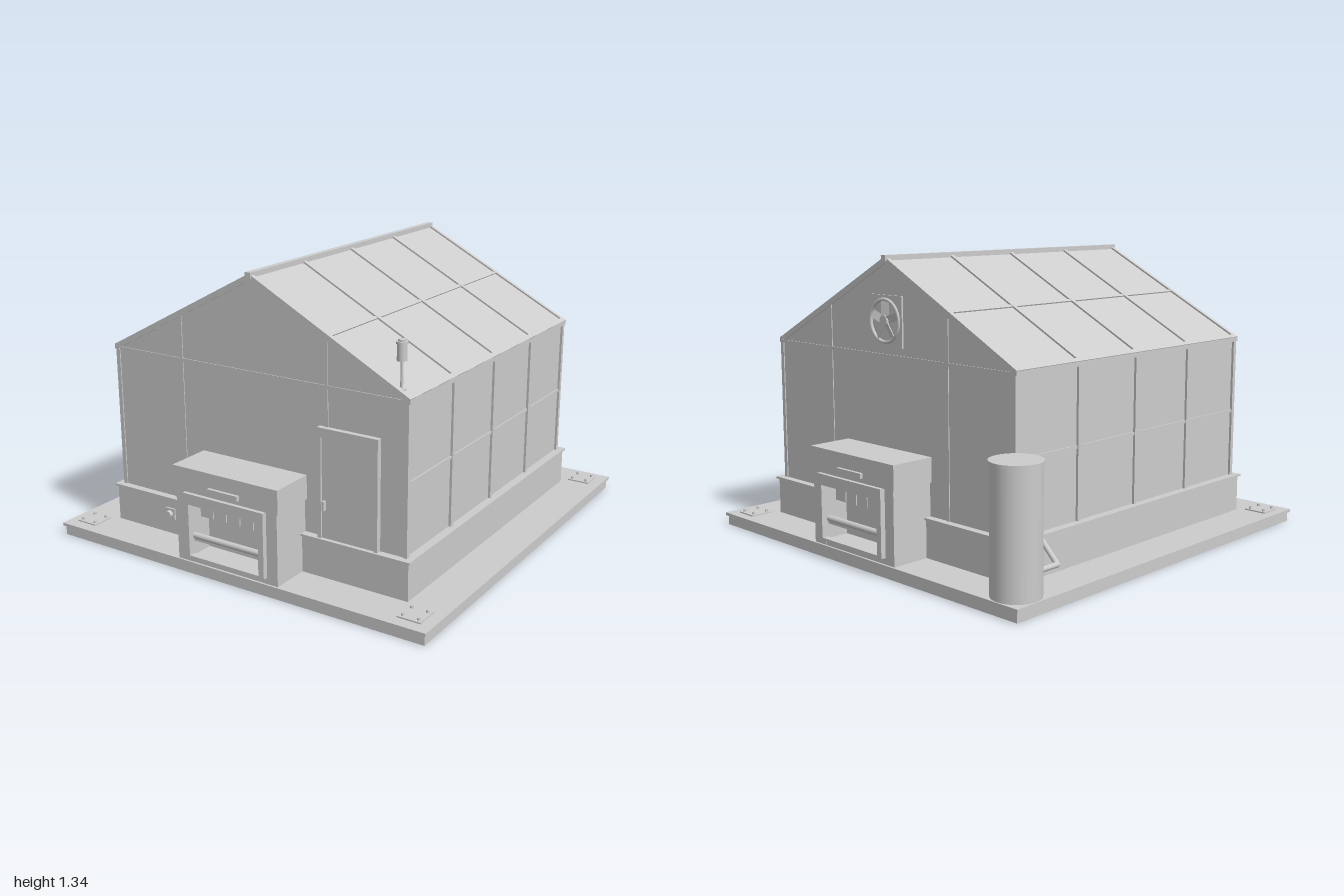
import * as THREE from 'three';

const grey = new THREE.MeshStandardMaterial({ color: 0xcccccc });
grey.name = 'lightGrey';

function add(parent, name, geometry, x = 0, y = 0, z = 0) {
  const mesh = new THREE.Mesh(geometry, grey);
  mesh.name = name;
  mesh.position.set(x, y, z);
  parent.add(mesh);
  return mesh;
}

// Box given by its extents along each axis
function box(parent, name, x0, x1, y0, y1, z0, z1) {
  return add(parent, name, new THREE.BoxGeometry(x1 - x0, y1 - y0, z1 - z0),
    (x0 + x1) / 2, (y0 + y1) / 2, (z0 + z1) / 2);
}

function cylinder(parent, name, r, y0, y1, x, z, sides = 24) {
  return add(parent, name, new THREE.CylinderGeometry(r, r, y1 - y0, sides), x, (y0 + y1) / 2, z);
}

function group(parent, name) {
  const g = new THREE.Group();
  g.name = name;
  parent.add(g);
  return g;
}

const BAYS = [-0.765, -0.385, 0, 0.385, 0.765];

// One slope of the roof, built flat from the ridge outwards and then tilted
function roofSlope(parent, name) {
  const side = group(parent, name);
  const slope = group(side, 'slope');
  const len = Math.hypot(0.777, 0.41);
  slope.position.y = 1.322;
  slope.rotation.z = -Math.atan2(0.41, 0.777);
  box(slope, 'roofPane', 0, len, -0.012, 0.004, -0.775, 0.775);
  for (const z of BAYS) box(slope, 'rafter', 0, len, -0.014, 0.012, z - 0.01, z + 0.01);
  box(slope, 'purlin', len / 2 - 0.008, len / 2 + 0.008, 0, 0.01, -0.77, 0.77);
  box(slope, 'eaveBar', len - 0.024, len, -0.014, 0.012, -0.776, 0.776);
  return side;
}

// Glazing bars of one long wall
function sideWall(parent, name) {
  const wall = group(parent, name);
  for (const z of BAYS) box(wall, 'post', 0.755, 0.776, 0.24, 0.915, z - 0.01, z + 0.01);
  box(wall, 'middleRail', 0.76, 0.772, 0.552, 0.566, -0.765, 0.765);
  box(wall, 'eaveRail', 0.757, 0.782, 0.9, 0.92, -0.776, 0.776);
  return wall;
}

// Glazing bars of one gable wall
function gableWall(parent, name) {
  const wall = group(parent, name);
  for (const x of [-0.385, 0.385]) box(wall, 'mullion', x - 0.007, x + 0.007, 0.24, 1.11, 0.76, 0.774);
  box(wall, 'gableRail', -0.765, 0.765, 0.9, 0.914, 0.76, 0.774);
  return wall;
}

// Housing with a framed opening, louvre slats and a roller
function ventHousing(parent, name) {
  const g = group(parent, name);
  box(g, 'lid', -0.28, 0.28, 0.39, 0.5, 0.765, 0.982);
  box(g, 'backPanel', -0.27, 0.27, 0.06, 0.39, 0.765, 0.86);
  box(g, 'floorPanel', -0.27, 0.27, 0.06, 0.09, 0.86, 0.975);
  box(g, 'header', -0.215, 0.215, 0.35, 0.39, 0.86, 0.975);
  for (const s of [-1, 1]) {
    const cheek = add(g, 'cheek', new THREE.BoxGeometry(0.08, 0.33, 0.12), s * 0.23, 0.225, 0.916);
    cheek.name = s < 0 ? 'rightCheek' : 'leftCheek';
    add(g, 'openingJamb', new THREE.BoxGeometry(0.028, 0.3, 0.03), s * 0.201, 0.24, 0.985);
  }
  box(g, 'openingHead', -0.215, 0.215, 0.34, 0.39, 0.97, 1);
  box(g, 'openingSill', -0.215, 0.215, 0.09, 0.1, 0.97, 1);
  for (let i = 0; i < 5; i++) {
    const x = (i - 2) * 0.073;
    box(g, 'slat', x - 0.034, x + 0.034, 0.26, 0.34, 0.86, 0.925);
  }
  const roller = cylinder(g, 'roller', 0.014, -0.19, 0.19, 0, 0.96, 16);
  roller.rotation.z = Math.PI / 2;
  roller.position.y = 0.182;
  box(g, 'ledge', -0.188, 0.188, 0.158, 0.17, 0.92, 0.965);
  box(g, 'lidHandle', -0.08, 0.08, 0.411, 0.434, 0.98, 0.997);
  return g;
}

// Square extractor fan, facing +z
function fan(parent) {
  const g = group(parent, 'fan');
  const plate = new THREE.Shape();
  plate.moveTo(-0.112, -0.112).lineTo(0.112, -0.112).lineTo(0.112, 0.112).lineTo(-0.112, 0.112).closePath();
  plate.holes.push(new THREE.Path().absarc(0, 0, 0.092, 0, Math.PI * 2, true));
  add(g, 'fanPlate', new THREE.ExtrudeGeometry(plate, { depth: 0.008, bevelEnabled: false, curveSegments: 24 }));
  add(g, 'fanRing', new THREE.TorusGeometry(0.093, 0.008, 8, 32), 0, 0, 0.008);
  const hub = add(g, 'fanHub', new THREE.CylinderGeometry(0.024, 0.024, 0.018, 20), 0, 0, 0.009);
  hub.rotation.x = Math.PI / 2;
  for (let i = 0; i < 5; i++) {
    const arm = group(g, 'bladeArm');
    arm.rotation.z = i * Math.PI * 0.4 + Math.PI / 2;
    add(arm, 'fanBlade', new THREE.BoxGeometry(0.07, 0.035, 0.004), 0.053, 0, 0.007).rotation.x = 0.35;
  }
  return g;
}

export function createModel() {
  const model = new THREE.Group();
  model.name = 'greenhouse';

  // Base slab and brick plinth
  box(model, 'baseSlab', -0.975, 0.975, 0, 0.046, -0.975, 0.975);
  box(model, 'baseLip', -0.985, 0.985, 0.046, 0.06, -0.985, 0.985);
  box(model, 'plinth', -0.795, 0.795, 0.06, 0.23, -0.795, 0.795);
  box(model, 'plinthCap', -0.805, 0.805, 0.23, 0.24, -0.805, 0.805);

  // Glazed body
  const profile = new THREE.Shape();
  profile.moveTo(-0.765, 0.24).lineTo(0.765, 0.24).lineTo(0.765, 0.91).lineTo(0, 1.315).lineTo(-0.765, 0.91).closePath();
  add(model, 'glassBody', new THREE.ExtrudeGeometry(profile, { depth: 1.54, bevelEnabled: false }), 0, 0, -0.77);
  sideWall(model, 'leftWall');
  sideWall(model, 'rightWall').rotation.y = Math.PI;
  gableWall(model, 'frontGable');
  gableWall(model, 'backGable').rotation.y = Math.PI;

  // Roof
  roofSlope(model, 'leftRoof');
  roofSlope(model, 'rightRoof').rotation.y = Math.PI;
  box(model, 'ridgeCap', -0.014, 0.014, 1.318, 1.342, -0.782, 0.782);

  // Vent housings front and back, fan in the back gable
  ventHousing(model, 'frontHousing');
  ventHousing(model, 'backHousing').rotation.y = Math.PI;
  const backFan = fan(model);
  backFan.position.set(0, 1.06, -0.77);
  backFan.rotation.y = Math.PI;

  // Door
  const door = group(model, 'door');
  for (const x of [0.35, 0.628]) box(door, 'doorJamb', x, x + 0.018, 0.24, 0.735, 0.765, 0.795);
  box(door, 'doorHead', 0.35, 0.646, 0.692, 0.735, 0.765, 0.795);
  box(door, 'doorLeaf', 0.366, 0.63, 0.24, 0.692, 0.765, 0.786);
  box(door, 'doorHandle', 0.376, 0.388, 0.37, 0.412, 0.785, 0.803);

  // Switch box on the plinth
  box(model, 'switchPlate', -0.497, -0.443, 0.133, 0.187, 0.79, 0.803);
  const knob = cylinder(model, 'switchKnob', 0.018, 0, 0.022, -0.47, 0.81, 20);
  knob.position.y = 0.16;
  knob.rotation.x = Math.PI / 2;

  // Sensor mast at the front left eave
  const mast = group(model, 'sensorMast');
  mast.position.set(0.715, 0, 0.73);
  cylinder(mast, 'mastFoot', 0.02, 0.925, 0.945, 0, 0);
  cylinder(mast, 'mastPole', 0.006, 0.93, 1.065, 0, 0, 12);
  cylinder(mast, 'sensorBody', 0.021, 1.06, 1.13, 0, 0);
  cylinder(mast, 'sensorCap', 0.025, 1.13, 1.14, 0, 0);
  cylinder(mast, 'sensorTip', 0.017, 1.14, 1.148, 0, 0);

  // Water tank with feed pipe
  cylinder(model, 'tank', 0.105, 0.06, 0.588, -0.875, -0.875, 48);
  cylinder(model, 'tankLid', 0.11, 0.588, 0.602, -0.875, -0.875, 48);
  const path = new THREE.CurvePath();
  const points = [[-0.875, 0.13, -0.78], [-0.875, 0.13, -0.635], [-0.79, 0.215, -0.635]]
    .map((p) => new THREE.Vector3(...p));
  path.add(new THREE.LineCurve3(points[0], points[1]));
  path.add(new THREE.LineCurve3(points[1], points[2]));
  for (const curve of path.curves) add(model, 'feedPipe', new THREE.TubeGeometry(curve, 1, 0.012, 12));
  add(model, 'pipeElbow', new THREE.SphereGeometry(0.012, 12, 8), -0.875, 0.13, -0.635);

  // Bolted anchor plates on the free corners
  for (const [x, z] of [[0.875, 0.875], [-0.885, 0.875], [0.875, -0.885]]) {
    const anchor = group(model, 'anchorPlate');
    anchor.position.set(x, 0, z);
    box(anchor, 'plate', -0.055, 0.055, 0.06, 0.066, -0.055, 0.055);
    for (const bx of [-0.037, 0.037]) {
      for (const bz of [-0.037, 0.037]) cylinder(anchor, 'bolt', 0.007, 0.066, 0.077, bx, bz, 8);
    }
  }
  return model;
}
